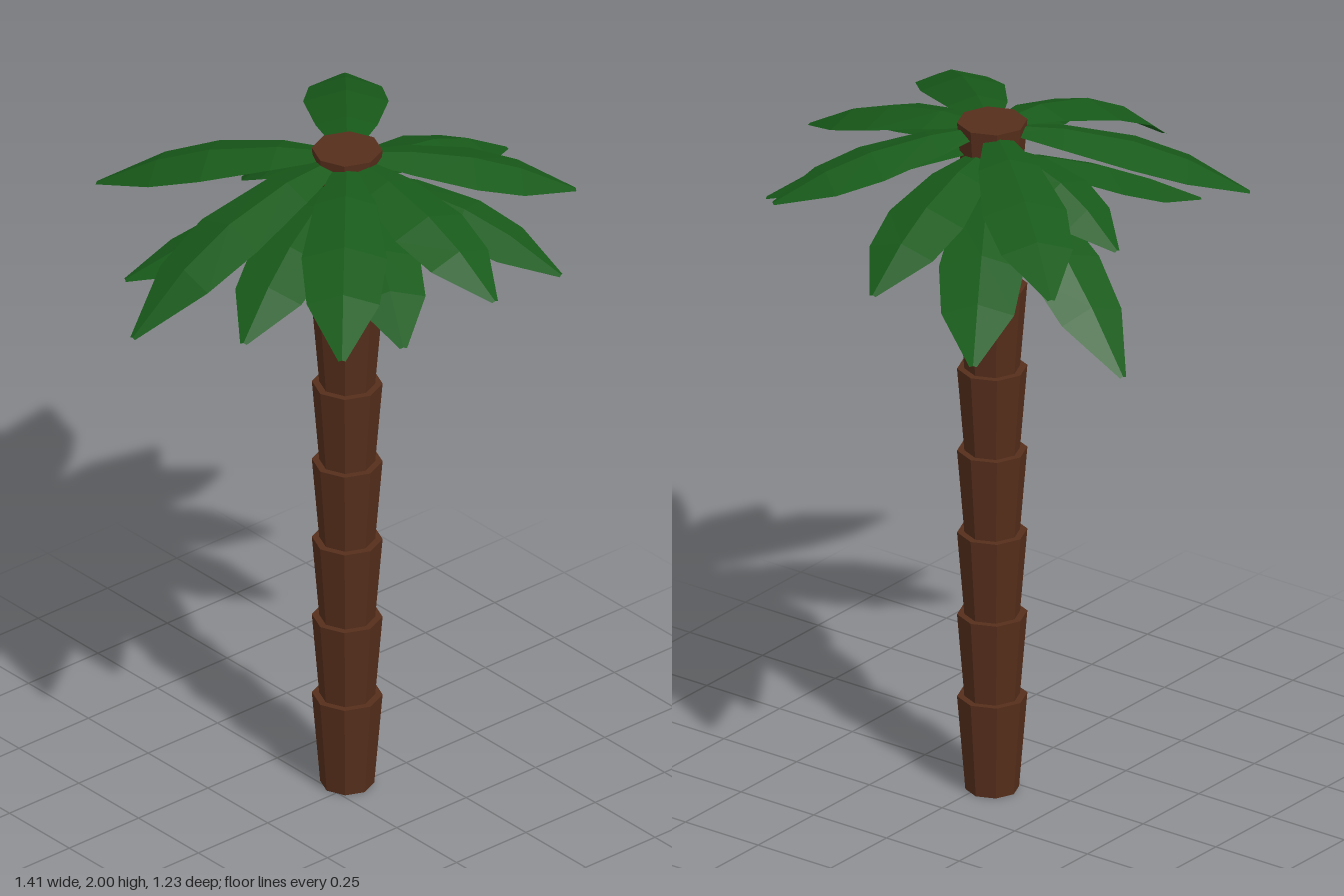
import * as THREE from 'three';

const CX = 0.06, CZ = -0.027; // trunk axis

// Leaf cross-sections: [position along the leaf, half width, sag of the edges]
const SECTIONS = [
  [0.05, 0.03, 0.01],
  [0.28, 0.085, 0.027],
  [0.55, 0.117, 0.036],
  [0.76, 0.1, 0.03],
  [1, 0.01, 0.003],
];

// Roof-shaped leaf from the trunk axis to its tip; a higher bend drops later and more sharply
function leafGeometry(baseY, bend, tipX, tipY, tipZ) {
  const dx = tipX - CX, dz = tipZ - CZ, length = Math.hypot(dx, dz);
  const sx = -dz / length, sz = dx / length;
  const positions = [], index = [];
  SECTIONS.forEach(([t, half, sag], i) => {
    const y = baseY + (tipY - baseY) * Math.pow(t, bend);
    for (const side of [-1, 0, 1]) {
      positions.push(
        CX + dx * t + sx * half * side,
        y - sag * Math.abs(side),
        CZ + dz * t + sz * half * side
      );
    }
    if (i === 0) return;
    for (let k = 0; k < 2; k++) {
      const a = (i - 1) * 3 + k, b = a + 3;
      index.push(a, a + 1, b, a + 1, b + 1, b);
    }
  });
  const geometry = new THREE.BufferGeometry();
  geometry.setAttribute('position', new THREE.Float32BufferAttribute(positions, 3));
  geometry.setIndex(index);
  const flat = geometry.toNonIndexed();
  flat.computeVertexNormals();
  return flat;
}

export function createModel() {
  const model = new THREE.Group();
  model.name = 'palmTree';
  const bark = new THREE.MeshStandardMaterial({ color: 0x552e1b, flatShading: true });
  const green = new THREE.MeshStandardMaterial({
    color: 0x185a1a, flatShading: true, side: THREE.DoubleSide,
  });

  // Trunk: stacked flaring segments, each set into the one below
  const trunk = new THREE.Group();
  trunk.name = 'trunk';
  const height = 0.28, step = (2 - height) / 7;
  const segment = new THREE.CylinderGeometry(0.097, 0.074, height, 8);
  for (let i = 0; i < 8; i++) {
    const mesh = new THREE.Mesh(segment, bark);
    mesh.name = 'trunkSegment';
    mesh.position.set(CX, height / 2 + i * step, CZ);
    trunk.add(mesh);
  }
  model.add(trunk);

  // Crown: leaf tips, grouped by where the leaves leave the trunk and how they bend
  const rings = [
    { name: 'upperLeaf', baseY: 1.988, bend: 2.45, tips: [
      [-0.705, 1.69, -0.037], [-0.35, 1.8, -0.6], [0.55, 1.8, -0.605],
      [0.573, 1.84, 0.335], [0.04, 1.81, 0.615], [-0.465, 1.79, 0.56],
    ] },
    { name: 'lowerLeaf', baseY: 1.93, bend: 2.3, tips: [
      [0.06, 1.73, -0.457], [0.7, 1.73, -0.105], [0.36, 1.73, 0.52],
      [-0.23, 1.735, 0.545], [-0.54, 1.73, 0.235],
    ] },
    { name: 'hangingLeaf', baseY: 1.89, bend: 1.6, tips: [
      [-0.48, 1.66, -0.33], [0.24, 1.46, -0.615], [0.66, 1.59, -0.42],
    ] },
  ];
  for (const { name, baseY, bend, tips } of rings) {
    for (const [x, y, z] of tips) {
      const leaf = new THREE.Mesh(leafGeometry(baseY, bend, x, y, z), green);
      leaf.name = name;
      model.add(leaf);
    }
  }
  return model;
}
